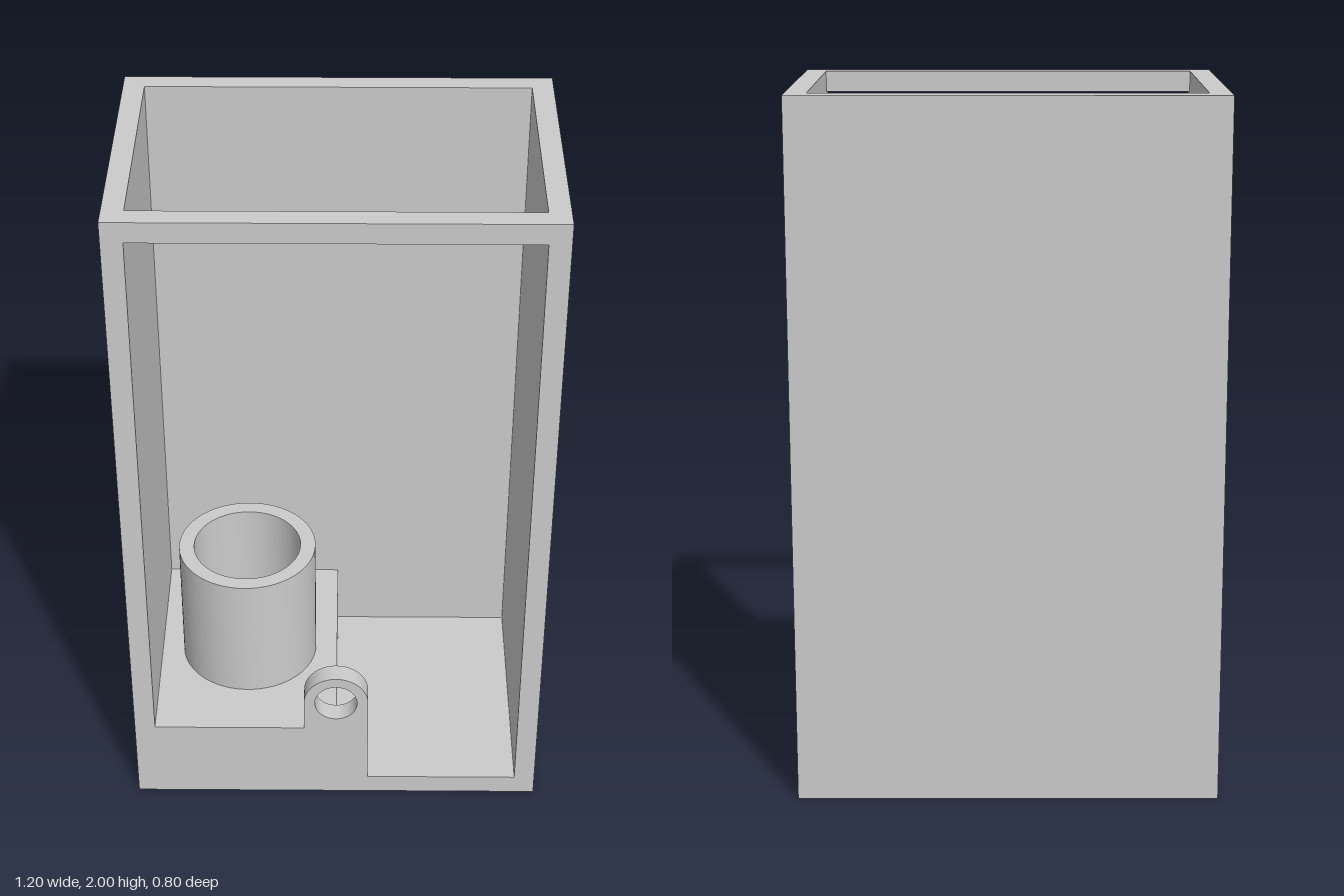
import * as THREE from 'three';
import { toCreasedNormals } from 'three/addons/utils/BufferGeometryUtils.js';

const W = 0.6, D = 0.4, H = 2;      // half width, half depth, height
const T = 0.06;                     // wall thickness
const IX = W - T, IZ = D - T;       // inner half sizes
const STEP = 0.26;                  // height of the raised platform

export function createModel() {
  const group = new THREE.Group();
  const material = new THREE.MeshStandardMaterial({ color: 0xcccccc });

  const add = (name, geometry, x = 0, y = 0, z = 0) => {
    const mesh = new THREE.Mesh(geometry, material);
    mesh.name = name;
    mesh.position.set(x, y, z);
    group.add(mesh);
    return mesh;
  };
  const extrude = (shape, depth) => toCreasedNormals(
    new THREE.ExtrudeGeometry(shape, { depth, bevelEnabled: false, curveSegments: 32 }), 0.5);

  // Back and side walls: a U-shaped plan (shape y = -z) raised to full height
  const plan = new THREE.Shape([
    [-W, -IZ], [-IX, -IZ], [-IX, IZ], [IX, IZ], [IX, -IZ], [W, -IZ], [W, D], [-W, D],
  ].map(([x, y]) => new THREE.Vector2(x, y)));
  add('walls', extrude(plan, H).rotateX(-Math.PI / 2));

  // Front frame with a stepped opening, leaving a round-topped lug with an eye
  const lugR = 0.095, lugY = 0.36;
  const front = new THREE.Shape();
  front.moveTo(-W, 0).lineTo(W, 0).lineTo(W, H).lineTo(-W, H).closePath();
  const opening = new THREE.Path();
  opening.moveTo(-IX, H - T).lineTo(-IX, STEP).lineTo(-lugR, STEP).lineTo(-lugR, lugY);
  opening.absarc(0, lugY, lugR, Math.PI, 0, true);
  opening.lineTo(lugR, T).lineTo(IX, T).lineTo(IX, H - T).closePath();
  const eye = new THREE.Path();
  eye.absarc(0, lugY, 0.0625, 0, Math.PI * 2, true);
  front.holes.push(opening, eye);
  add('frontFrame', extrude(front, T), 0, 0, IZ);

  // Floor and raised platform on the right half
  add('floor', new THREE.BoxGeometry(2 * IX, T, 2 * IZ), 0, T / 2, 0);
  add('platform', new THREE.BoxGeometry(IX, STEP - T, 2 * IZ), -IX / 2, (STEP + T) / 2, 0);

  // Open tubular holder standing on the platform
  const profile = [[0.205, 0], [0.205, 0.4], [0.16, 0.4], [0.16, 0]]
    .map(([r, y]) => new THREE.Vector2(r, y));
  add('tubeHolder', toCreasedNormals(new THREE.LatheGeometry(profile, 64), 0.5), -0.27, STEP, 0.028);

  return group;
}
